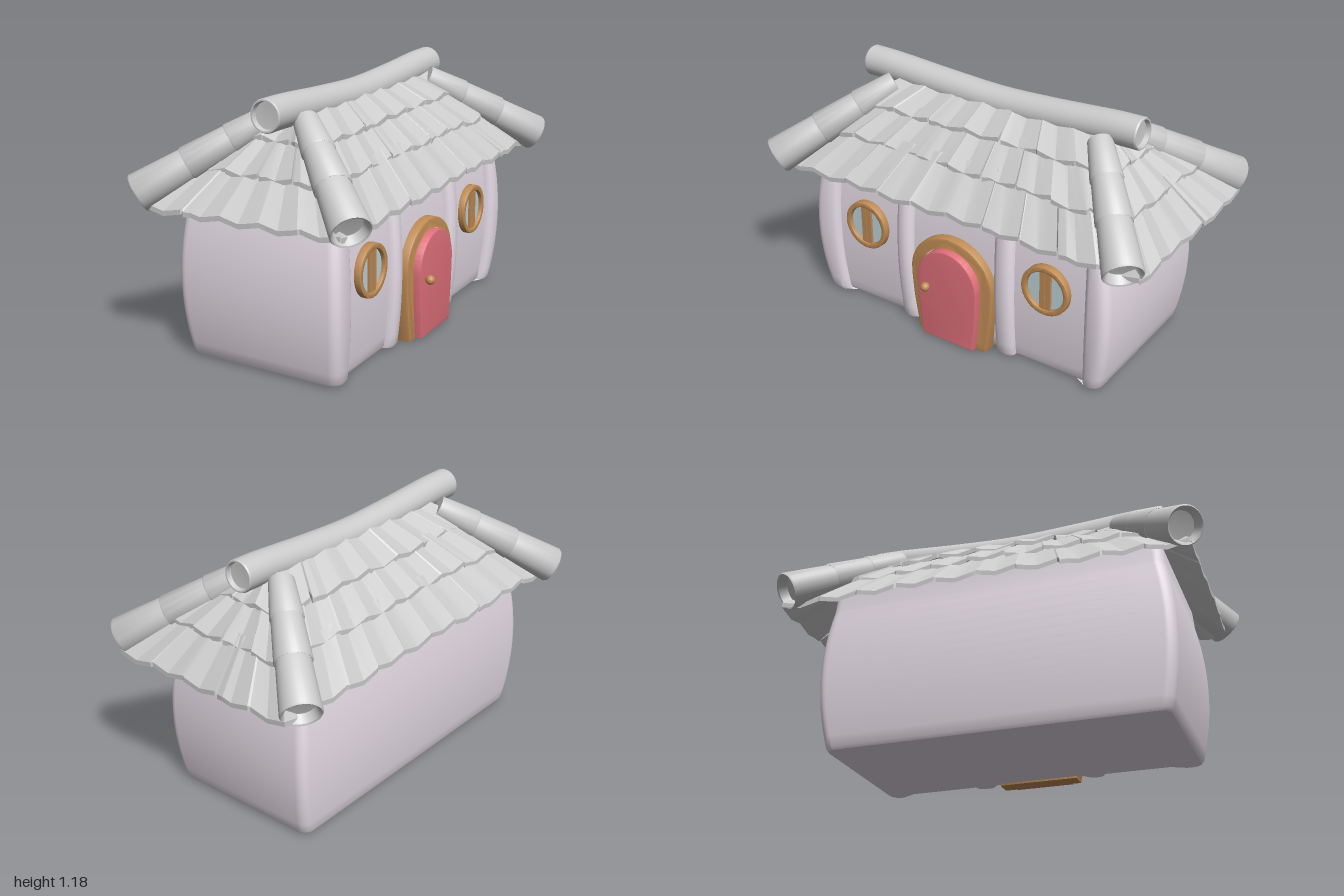
import * as THREE from 'three';
import { toCreasedNormals } from 'three/addons/utils/BufferGeometryUtils.js';

const mat = (color) => new THREE.MeshStandardMaterial({ color });
const stone = mat(0xcccccc), plaster = mat(0xe6dce6), wood = mat(0xc08c55), red = mat(0xe0707a), glass = mat(0xbfd4da);

function add(parent, name, geo, material, x = 0, y = 0, z = 0) {
  const m = new THREE.Mesh(geo, material);
  m.name = name;
  m.position.set(x, y, z);
  parent.add(m);
  return m;
}

// Small seeded generator for the uneven tiles
let seed = 7;
const rnd = () => ((seed = (seed * 16807) % 2147483647) / 2147483647);

// Joins equal-length cross-sections into a surface with sharp creases
function loft(rings, caps, crease) {
  const pos = [], n = rings[0].length;
  const tri = (...p) => p.forEach((v) => pos.push(v.x, v.y, v.z));
  for (let i = 0; i < rings.length - 1; i++) {
    for (let j = 0; j < n; j++) {
      const k = (j + 1) % n, a = rings[i], b = rings[i + 1];
      tri(a[j], a[k], b[k]);
      tri(a[j], b[k], b[j]);
    }
  }
  if (caps) {
    for (const [ring, flip] of [[rings[0], true], [rings[rings.length - 1], false]]) {
      const c = new THREE.Vector3(0, ring[0].y, 0);
      for (let j = 0; j < n; j++) {
        const p = ring[j], q = ring[(j + 1) % n];
        flip ? tri(c, q, p) : tri(c, p, q);
      }
    }
  }
  const g = new THREE.BufferGeometry();
  g.setAttribute('position', new THREE.Float32BufferAttribute(pos, 3));
  return toCreasedNormals(g, crease);
}

// Bulging walls with three recessed panels between pillars on the +x side
function wallGeometry() {
  const recess = 0.036, r = 0.045;
  const panels = [[0.69, 0.33], [0.25, -0.21], [-0.3, -0.67]];
  const ring = (y, yb, depth, inset = 0) => {
    const bulge = 1 - ((yb - 0.36) / 0.36) ** 2;
    const hx = 0.374 + 0.028 * bulge - inset, hz = 0.775 + 0.046 * bulge - inset;
    const pts = [];
    const corner = (sx, sz, a0) => {
      for (let i = 0; i <= 5; i++) {
        const a = a0 + (i / 5) * Math.PI / 2;
        pts.push(new THREE.Vector3(sx * (hx - r) + r * Math.cos(a), y, 0.02 + sz * (hz - r) - r * Math.sin(a)));
      }
    };
    corner(-1, -1, Math.PI / 2);
    corner(-1, 1, Math.PI);
    corner(1, 1, Math.PI * 1.5);
    for (const [a, b] of panels) {
      const s = 1 + 0.02 * bulge;
      for (const [z, d] of [[a + 0.025, 0], [a + 0.008, 0.25], [a, 0.5], [a - 0.004, 1], [b + 0.004, 1], [b, 0.5], [b - 0.008, 0.25], [b - 0.025, 0]]) {
        pts.push(new THREE.Vector3(hx - d * depth, y, z * s));
      }
    }
    corner(1, -1, 0);
    return pts;
  };
  const rings = [ring(0.01, 0, recess, 0.004)];
  for (let i = 0; i <= 14; i++) {
    const y = 0.025 + i * 0.0472;
    rings.push(ring(y, y, recess));
  }
  rings.push(ring(0.692, 0.69, 0), ring(0.77, 0.72, 0));
  return loft(rings, true, 0.6);
}

// One side of one roof tier: a wavy slab of tiles with chipped notches
function tierSide(low, high, tiles) {
  const cols = [];
  for (let t = 0; t < tiles; t++) {
    const lift = (rnd() - 0.5) * 0.01, out = (rnd() - 0.5) * 0.016;
    const s0 = -1 + (2 * t) / tiles, w = 2 / tiles;
    for (const u of [0.02, 0.25, 0.5, 0.75, 0.98]) {
      cols.push({ s: s0 + u * w, wave: lift + 0.01 * Math.cos(u * Math.PI * 2), out, cut: 0 });
    }
    if (t < tiles - 1 && rnd() < 0.42) {
      const e = 0.008 / low.along, s = s0 + w;
      cols.push({ s: s - e * 0.2, wave: lift, out, cut: 0.2 }, { s: s + e, wave: lift, out, cut: 0 });
    }
  }
  cols[0].s = -1;
  cols[cols.length - 1].s = 1;
  cols.sort((a, b) => a.s - b.s);
  const thick = 0.022;
  const rings = cols.map(({ s, wave, out, cut }) => {
    const at = (f, dy, k) => new THREE.Vector3(
      s * THREE.MathUtils.lerp(low.along, high.along, f),
      THREE.MathUtils.lerp(low.y, high.y, f) + dy + wave * k,
      THREE.MathUtils.lerp(low.dist, high.dist, f) + out * k);
    return [at(cut, thick / 2, 1), at(cut, -thick / 2, 1), at(1, -thick / 2, 0.5), at(1, thick / 2, 0.5)];
  });
  return loft(rings, false, 0.25);
}

function roof() {
  const g = new THREE.Group();
  g.name = 'tiledRoof';
  g.position.z = -0.02;
  // [half width, half length, height] at the lower and upper edge
  const tiers = [
    [[0.475, 0.955, 0.708], [0.29, 0.765, 0.89], [5, 10]],
    [[0.335, 0.812, 0.863], [0.165, 0.64, 1.0], [4, 9]],
    [[0.205, 0.68, 0.985], [0.02, 0.5, 1.11], [3, 7]],
  ];
  tiers.forEach(([lo, hi, n], i) => {
    for (let k = 0; k < 4; k++) {
      const odd = k % 2;
      const edge = (e) => ({ along: e[odd], dist: e[1 - odd], y: e[2] });
      add(g, `roofTier${i + 1}Side${k + 1}`, tierSide(edge(lo), edge(hi), n[odd]), stone).rotation.y = k * Math.PI / 2;
    }
  });
  return g;
}

const UP = new THREE.Vector3(0, 1, 0);
const lathe = (pts, seg = 32) => toCreasedNormals(new THREE.LatheGeometry(pts.map((p) => new THREE.Vector2(...p)), seg), 0.7);

// Stepped tile pole running down one hip of the roof
function hipPole(sx, sz) {
  const g = new THREE.Group();
  g.name = 'hipPole';
  const a = new THREE.Vector3(sx * 0.522, 0.755, sz * 0.93), b = new THREE.Vector3(sx * 0.085, 1.065, sz * 0.555);
  const L = a.distanceTo(b);
  g.position.copy(a);
  g.quaternion.setFromUnitVectors(UP, b.clone().sub(a).normalize());
  [[0, 0.42, 0.088, 0.073], [0.37, 0.75, 0.081, 0.066], [0.69, 1, 0.073, 0.056]].forEach(([t0, t1, r0, r1], i) => {
    const h = (t1 - t0) * L;
    add(g, `hipSegment${i + 1}`, lathe([[0, 0.05], [r0 * 0.72, 0.045], [r0 * 0.86, 0.004], [r0 * 0.94, 0], [r0, 0.008], [r1, h], [0, h]]), stone, 0, t0 * L, 0);
  });
  return g;
}

// Sagging round ridge with dished ends
function ridge() {
  const g = new THREE.Group();
  g.name = 'ridgePole';
  const r = 0.073;
  const curve = new THREE.CatmullRomCurve3([[1.112, 0.74], [1.11, 0.62], [1.09, 0.3], [1.078, 0], [1.09, -0.3], [1.11, -0.6], [1.112, -0.71]]
    .map(([y, z]) => new THREE.Vector3(0.008, y, z)));
  add(g, 'ridgeTube', new THREE.TubeGeometry(curve, 40, r, 32), stone);
  for (const t of [0, 1]) {
    const p = curve.getPointAt(t), d = curve.getTangentAt(t).multiplyScalar(t ? 1 : -1);
    const cap = add(g, 'ridgeEnd', lathe([[r, 0], [r * 0.95, 0.007], [r * 0.86, 0.007], [r * 0.8, -0.015], [0, -0.02]]), stone, p.x, p.y, p.z);
    cap.quaternion.setFromUnitVectors(UP, d);
  }
  return g;
}

// Arched outline that widens from the foot to the spring line
function arch(path, foot, wide, spring, top, base) {
  path.moveTo(-foot, base);
  path.quadraticCurveTo(-wide, base + (spring - base) * 0.6, -wide, spring);
  path.absellipse(0, spring, wide, top - spring, Math.PI, 0, true);
  path.quadraticCurveTo(wide, base + (spring - base) * 0.6, foot, base);
  path.lineTo(-foot, base);
  return path;
}

// Extrudes a shape so that it faces +x
function facing(shape, depth, bevel) {
  const geo = new THREE.ExtrudeGeometry(shape, {
    depth: depth - 2 * bevel, bevelThickness: bevel, bevelSize: bevel, bevelOffset: -bevel, bevelSegments: 2, curveSegments: 24,
  });
  return toCreasedNormals(geo.translate(0, 0, bevel).rotateY(Math.PI / 2), 0.6);
}

function door() {
  const g = new THREE.Group();
  g.name = 'frontDoor';
  g.position.z = 0.015;
  const frame = arch(new THREE.Shape(), 0.188, 0.226, 0.33, 0.54, 0);
  frame.holes.push(arch(new THREE.Path(), 0.15, 0.174, 0.33, 0.5, 0.02));
  add(g, 'doorFrame', facing(frame, 0.085, 0.008), wood, 0.32);
  add(g, 'doorPanel', facing(arch(new THREE.Shape(), 0.14, 0.163, 0.32, 0.49, 0.01), 0.09, 0.005), red, 0.35);
  add(g, 'doorKnob', new THREE.SphereGeometry(0.022, 20, 14), wood, 0.46, 0.287, 0.105);
  return g;
}

function roundWindow(z) {
  const g = new THREE.Group();
  g.name = 'roundWindow';
  g.position.set(0.35, 0.447, z);
  const ring = new THREE.Shape().absarc(0, 0, 0.12, 0, Math.PI * 2);
  ring.holes.push(new THREE.Path().absarc(0, 0, 0.095, 0, Math.PI * 2, true));
  add(g, 'windowRing', facing(ring, 0.045, 0.005), wood);
  add(g, 'windowGlass', new THREE.CylinderGeometry(0.1, 0.1, 0.012, 32).rotateZ(Math.PI / 2), glass, 0.02);
  for (const s of [-1, 1]) add(g, 'windowBar', new THREE.BoxGeometry(0.025, 0.2, 0.026), wood, 0.026, 0, s * 0.0145);
  return g;
}

export function createModel() {
  seed = 7;
  const model = new THREE.Group();
  model.name = 'cottage';
  add(model, 'walls', wallGeometry(), plaster);
  model.add(roof(), ridge(), door(), roundWindow(0.52), roundWindow(-0.483));
  for (const sx of [-1, 1]) for (const sz of [-1, 1]) model.add(hipPole(sx, sz));
  return model;
}
